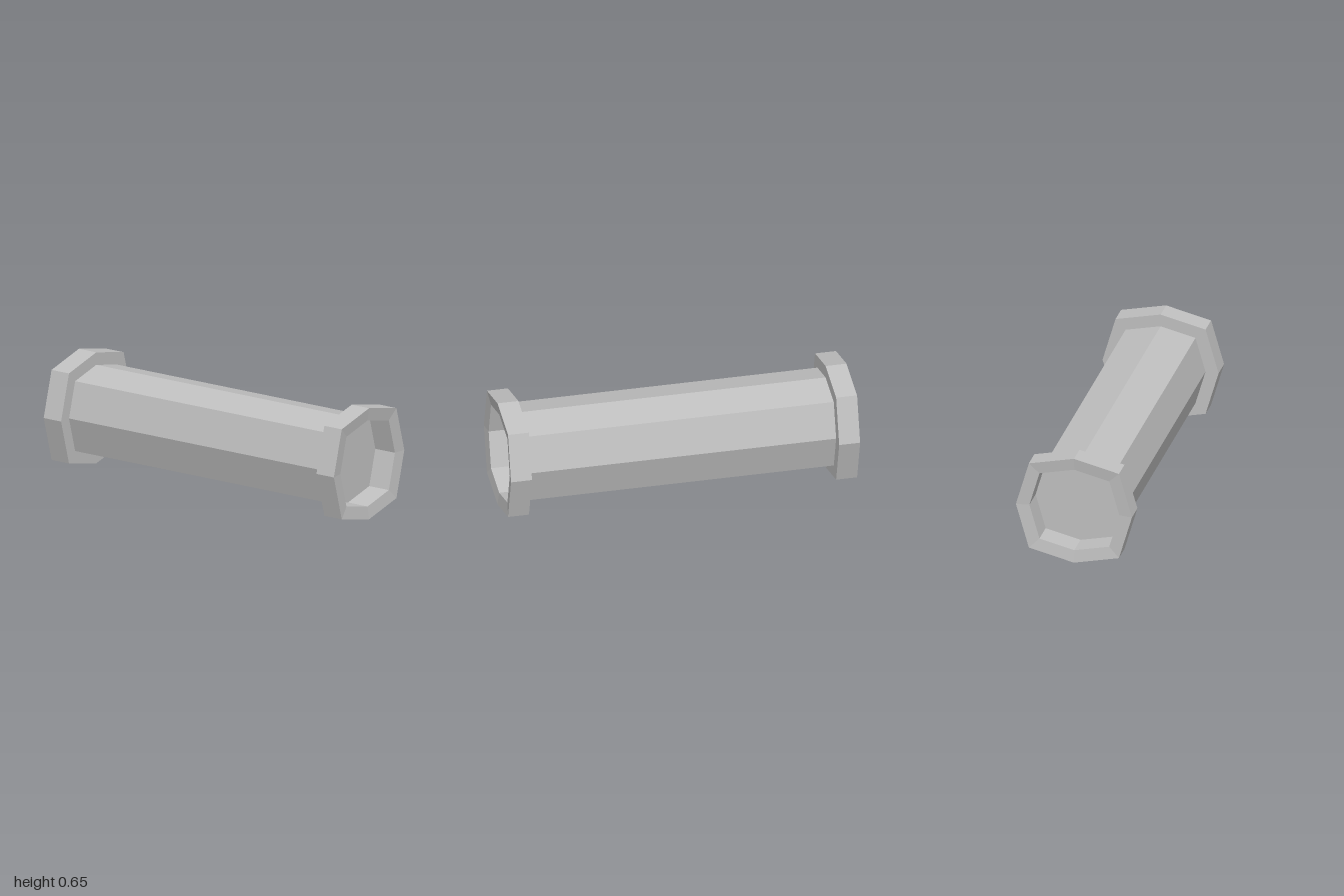
import * as THREE from 'three';

// Octagonal cross-section, counter-clockwise seen from +z
const CENTRE_Y = 0.323;
const SECTION = [
  [0.335, 0], [0.26, 0.262], [0, 0.323], [-0.26, 0.262],
  [-0.335, 0], [-0.26, -0.262], [0, -0.323], [0.26, -0.262],
];
const INNER = 0.775; // pipe section relative to the flange

// Flat-shaded skin through rings given as [scale, z]
function loft(rings) {
  const pos = [];
  const point = ([s, z], i) => {
    const [x, y] = SECTION[i % SECTION.length];
    return [x * s, y * s, z];
  };
  for (let r = 0; r < rings.length - 1; r++) {
    for (let i = 0; i < SECTION.length; i++) {
      const a = point(rings[r], i), b = point(rings[r], i + 1);
      const c = point(rings[r + 1], i + 1), d = point(rings[r + 1], i);
      pos.push(...a, ...b, ...c, ...a, ...c, ...d);
    }
  }
  const geo = new THREE.BufferGeometry();
  geo.setAttribute('position', new THREE.Float32BufferAttribute(pos, 3));
  geo.computeVertexNormals();
  return geo;
}

export function createModel() {
  const model = new THREE.Group();
  model.name = 'flangedPipe';
  const grey = new THREE.MeshStandardMaterial({ color: 0xbfbfbf, side: THREE.DoubleSide });
  grey.name = 'plainGrey';

  const add = (parent, name, geo) => {
    const mesh = new THREE.Mesh(geo, grey);
    mesh.name = name;
    parent.add(mesh);
    return mesh;
  };

  // Thin pipe wall, which also lines the recess at each end
  add(model, 'pipeWall', loft([[INNER, -0.99], [INNER, 0.99]])).position.y = CENTRE_Y;

  // Matching ends: a collar with a slightly dished rim, and a sunken end plate
  const plate = new THREE.Shape(SECTION.map(([x, y]) => new THREE.Vector2(x * INNER, y * INNER)));
  for (const [name, turn] of [['front', 0], ['back', Math.PI]]) {
    const end = new THREE.Group();
    end.name = name + 'End';
    end.position.y = CENTRE_Y;
    end.rotation.y = turn;
    add(end, name + 'Flange', loft([[INNER, 0.88], [1, 0.88], [1, 1], [INNER, 0.99]]));
    add(end, name + 'EndPlate', new THREE.ShapeGeometry(plate)).position.z = 0.855;
    model.add(end);
  }
  return model;
}
